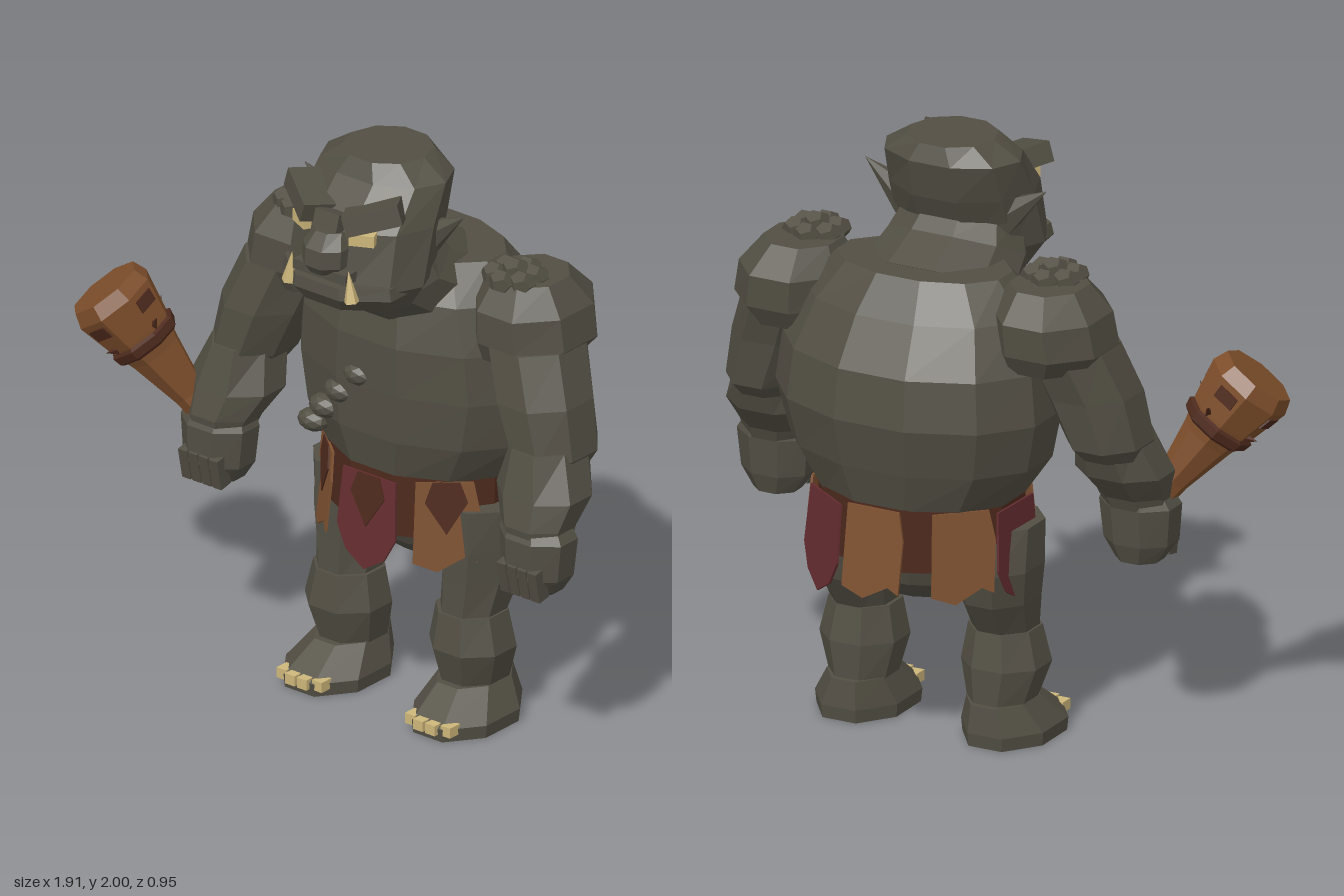
import * as THREE from 'three';

const CX = 0.15; // body axis; the club reaches out to the other side

const paint = (name, color) => {
  const m = new THREE.MeshStandardMaterial({ color });
  m.name = name;
  return m;
};

// Faceted skin over elliptical rings listed upward: [x, y, z, rx, rz, drop of the front edge]
function loft(rings, n = 8) {
  const pos = [], idx = [], k = 1 / Math.cos(Math.PI / n);
  for (const [x, y, z, rx, rz, drop = 0] of rings) {
    for (let j = 0; j < n; j++) {
      const a = ((j + 0.5) / n) * Math.PI * 2;
      pos.push(x + rx * k * Math.sin(a), y - drop * Math.cos(a), z + rz * k * Math.cos(a));
    }
  }
  const last = rings.length - 1;
  for (let i = 0; i < last; i++) {
    for (let j = 0; j < n; j++) {
      const a = i * n + j, b = i * n + ((j + 1) % n);
      idx.push(a, b, b + n, a, b + n, a + n);
    }
  }
  const low = pos.length / 3, high = low + 1;
  pos.push(...rings[0].slice(0, 3), ...rings[last].slice(0, 3));
  for (let j = 0; j < n; j++) {
    const q = (j + 1) % n;
    idx.push(low, q, j, high, last * n + j, last * n + q);
  }
  const g = new THREE.BufferGeometry();
  g.setAttribute('position', new THREE.Float32BufferAttribute(pos, 3));
  g.setIndex(idx);
  return g;
}

export function createModel() {
  const root = new THREE.Group();
  root.name = 'ogre';
  const skin = paint('grey skin', 0x524e43);
  const leather = paint('tan leather', 0x7f5231);
  const hide = paint('dark hide', 0x4e2a1d);
  const cloth = paint('red cloth', 0x642c30);
  const ivory = paint('ivory', 0xcdb67a);
  const wood = paint('club wood', 0x7d4e2b);
  hide.side = THREE.DoubleSide;

  function add(name, geometry, material, p = [0, 0, 0], r = [0, 0, 0], parent = root) {
    const flat = geometry.index ? geometry.toNonIndexed() : geometry;
    flat.computeVertexNormals();
    const m = new THREE.Mesh(flat, material);
    m.name = name;
    m.position.set(...p);
    m.rotation.set(...r);
    parent.add(m);
    return m;
  }
  const box = (w, h, d) => new THREE.BoxGeometry(w, h, d);

  // Trunk
  add('torso', loft([
    [CX, 0.85, -0.12, 0.335, 0.285], [CX, 1.0, -0.125, 0.44, 0.32], [CX, 1.17, -0.14, 0.48, 0.34],
    [CX, 1.34, -0.13, 0.46, 0.33], [CX, 1.5, -0.1, 0.4, 0.27], [CX, 1.62, -0.1, 0.3, 0.18],
  ], 12), skin);
  add('pelvis', loft([
    [CX, 0.5, -0.13, 0.12, 0.1], [CX, 0.58, -0.13, 0.25, 0.2],
    [CX, 0.7, -0.12, 0.31, 0.25], [CX, 0.87, -0.12, 0.32, 0.27],
  ], 12), skin);
  add('neck', loft([
    [CX, 1.53, 0.0, 0.26, 0.19, 0.1], [CX, 1.61, 0.13, 0.235, 0.18, 0.09], [CX, 1.72, 0.17, 0.2, 0.15, 0.04],
  ], 10), skin);
  const warts = [[-0.13, 0.13, 0.058], [-0.055, 0.16, 0.06], [0.02, 0.175, 0.06], [0.1, 0.175, 0.06], [0.2, 0.155, 0.05]];
  warts.forEach(([x, z, r], i) => {
    const wart = add('bellyWart', new THREE.IcosahedronGeometry(r, 1), skin, [x, 0.945 + i * 0.084, z]);
    wart.scale.set(1, 0.68, 0.8);
  });

  // Head
  add('head', loft([
    [CX, 1.53, 0.22, 0.19, 0.12], [CX, 1.62, 0.23, 0.25, 0.18], [CX, 1.81, 0.17, 0.245, 0.21],
    [CX, 1.94, 0.095, 0.235, 0.165], [CX, 2.0, 0.09, 0.145, 0.14],
  ], 10), skin);
  add('lowerJaw', loft([
    [CX, 1.55, 0.28, 0.18, 0.14], [CX, 1.6, 0.28, 0.23, 0.175], [CX, 1.64, 0.28, 0.22, 0.17],
  ]), skin);
  add('upperLip', box(0.22, 0.035, 0.1), skin, [CX, 1.67, 0.39]);
  add('nose', loft([
    [CX, 1.67, 0.39, 0.05, 0.065], [CX, 1.7, 0.4, 0.08, 0.075], [CX, 1.76, 0.395, 0.08, 0.075], [CX, 1.81, 0.37, 0.055, 0.06],
  ], 8), skin);
  add('browBridge', box(0.1, 0.06, 0.1), skin, [CX, 1.83, 0.36], [-0.3, 0, 0]);
  for (const s of [-1, 1]) {
    add('brow', box(0.19, 0.07, 0.11), skin, [CX + s * 0.135, 1.868, 0.325], [-0.15, s * 0.55, s * 0.36]);
    add('eye', box(0.085, 0.04, 0.05), ivory, [CX + s * 0.122, 1.802, 0.365], [0, s * 0.45, 0]);
    add('tusk', new THREE.ConeGeometry(0.026, 0.11, 5), ivory, [CX + s * 0.125, 1.655, 0.435], [0, 0, s * 0.12]);
    const ear = add('ear', new THREE.ConeGeometry(0.068, 0.2, 6), skin, [CX + s * 0.255, 1.79, 0.11], [0, 0, -s * 0.95]);
    ear.scale.z = 0.8;
  }

  // Arms and legs, mirrored about the body axis
  for (const s of [-1, 1]) {
    const limb = (name, rings, n) => add(name, loft(rings.map(([d, ...rest]) => [CX + s * d, ...rest]), n), skin);
    limb('shoulder', [
      [0.46, 1.35, -0.08, 0.15, 0.17], [0.478, 1.42, -0.085, 0.188, 0.205],
      [0.468, 1.53, -0.09, 0.178, 0.205], [0.455, 1.62, -0.085, 0.12, 0.13],
    ]);
    limb('upperArm', [
      [0.635, 1.03, 0.01, 0.1, 0.11], [0.63, 1.08, 0.005, 0.128, 0.155],
      [0.575, 1.25, -0.01, 0.15, 0.165], [0.51, 1.42, -0.05, 0.15, 0.17],
    ]);
    limb('forearm', [
      [0.665, 0.83, 0.13, 0.11, 0.1], [0.66, 0.87, 0.125, 0.122, 0.11],
      [0.645, 0.96, 0.075, 0.155, 0.135], [0.63, 1.11, 0.03, 0.11, 0.14],
    ]);
    limb('hand', [
      [0.67, 0.635, 0.13, 0.075, 0.07], [0.67, 0.7, 0.14, 0.118, 0.1],
      [0.67, 0.83, 0.135, 0.13, 0.105], [0.665, 0.87, 0.13, 0.11, 0.09],
    ]);
    for (let i = 0; i < 4; i++) {
      add('finger', box(0.036, 0.11, 0.05), skin, [CX + s * 0.67 + (i - 1.5) * 0.043, 0.69, 0.215], [0.2, 0, 0]);
    }
    // Stone cluster on the shoulder
    for (let i = 0; i < 7; i++) {
      const a = i * Math.PI / 3, r = i === 6 ? 0 : 0.066;
      const w = add('shoulderWart', new THREE.DodecahedronGeometry(0.048), skin,
        [CX + s * 0.44 + r * Math.sin(a), i === 6 ? 1.645 : 1.625, -0.025 + r * Math.cos(a)]);
      w.scale.y = 0.85;
    }
    limb('thigh', [
      [0.26, 0.37, -0.025, 0.1, 0.105], [0.265, 0.5, -0.07, 0.118, 0.145],
      [0.272, 0.62, -0.085, 0.128, 0.16], [0.268, 0.765, -0.065, 0.128, 0.14],
    ]);
    limb('calf', [
      [0.255, 0.12, -0.045, 0.1, 0.115], [0.262, 0.26, -0.025, 0.138, 0.135], [0.258, 0.385, -0.025, 0.112, 0.115],
    ]);
    limb('foot', [
      [0.27, 0, 0.015, 0.148, 0.2], [0.27, 0.045, 0.015, 0.152, 0.205], [0.258, 0.14, -0.04, 0.105, 0.14],
    ]);
    for (let i = 0; i < 4; i++) {
      const d = i - 1.5;
      add('toenail', box(0.04, 0.036, 0.05), ivory, [CX + s * 0.27 + d * 0.05, 0.042, 0.212 - 0.009 * d * d]);
    }
  }

  // Loincloth: hide skirt with hanging flaps
  const skirt = add('skirt', new THREE.CylinderGeometry(1, 0.97, 0.22, 12, 1, true, Math.PI / 12), hide, [CX, 0.76, -0.12]);
  skirt.scale.set(0.354, 1, 0.302);
  const plate = pts => new THREE.ExtrudeGeometry(
    new THREE.Shape(pts.map(p => new THREE.Vector2(...p))), { depth: 0.008, bevelEnabled: false });
  const flaps = [[0, 1], [45, 0], [100, 0], [140, 1], [179, 0], [228, 0], [268, 1], [315, 0]];
  for (const [deg, red] of flaps) {
    const a = THREE.MathUtils.degToRad(deg);
    const side = Math.abs(Math.sin(a)) > 0.9;
    const g = new THREE.Group();
    g.name = red ? 'redFlap' : 'leatherFlap';
    g.position.set(CX + 0.347 * Math.sin(a), red ? 0.85 : 0.865, -0.12 + 0.298 * Math.cos(a));
    g.rotation.set(side ? -0.05 : -0.09, Math.atan2(Math.sin(a) / 0.347, Math.cos(a) / 0.298), 0, 'YXZ');
    add('flap', plate(red
      ? [[-0.11, 0], [-0.122, -0.2], [-0.08, -0.28], [0, -0.33], [0.08, -0.28], [0.122, -0.2], [0.11, 0]]
      : [[-0.1, 0], [-0.11, -0.28], [-0.03, -0.31], [0.06, -0.26], [0.1, -0.28], [0.11, -0.1], [0.09, 0]]),
    red ? cloth : leather, [0, 0, 0], [0, 0, 0], g);
    if (deg < 90 || deg > 270) {
      add('flapPatch', plate([[-0.045, 0], [-0.07, -0.07], [0, -0.18], [0.07, -0.07], [0.045, 0]]),
        hide, [0, 0, 0.005], [0, 0, 0], g);
    }
    root.add(g);
  }

  // Club held in the right hand
  const club = new THREE.Group();
  club.name = 'club';
  const axis = new THREE.Vector3(-0.335, 0.49, 0.195).normalize();
  club.position.set(-0.52, 0.77, 0.12);
  club.quaternion.setFromUnitVectors(new THREE.Vector3(0, 1, 0), axis);
  const round = list => loft(list.map(([y, r]) => [0, y, 0, r, r]), 8);
  add('clubShaft', round([[0, 0.04], [0.18, 0.052], [0.36, 0.085], [0.45, 0.11], [0.58, 0.137], [0.63, 0.12]]),
    wood, [0, 0, 0], [0, 0, 0], club);
  add('band', round([[0.39, 0.1], [0.4, 0.112], [0.43, 0.118], [0.44, 0.105]]), hide, [0, 0, 0], [0, 0, 0], club);
  for (let i = 0; i < 4; i++) {
    const holder = new THREE.Group();
    holder.name = 'clubDetail';
    holder.rotation.y = i * Math.PI / 2;
    add('knot', box(0.009, 0.045, 0.075), hide, [0.129, 0.535, 0], [0, 0, -0.2], holder);
    add('splinter', new THREE.ConeGeometry(0.018, 0.06, 4), hide, [0.12, 0.46, 0.02], [0, 0, -1.1], holder);
    club.add(holder);
  }
  root.add(club);
  return root;
}
